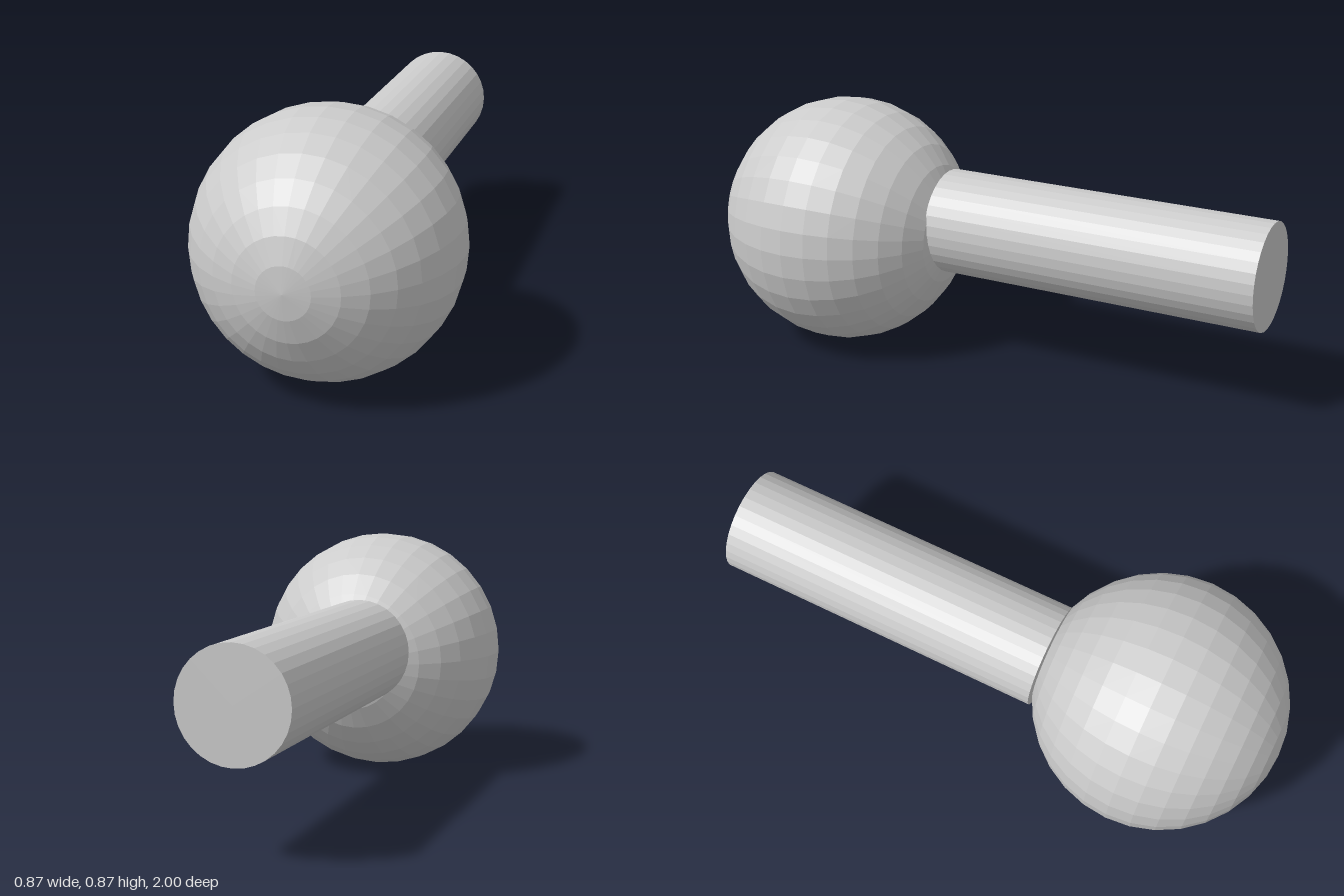
import * as THREE from 'three';

export function createModel() {
  const group = new THREE.Group();
  const material = new THREE.MeshStandardMaterial({ color: 0xcccccc, flatShading: true });
  const radius = 0.437;

  // Parts are made upright, then laid so their axis runs along z
  function addPart(name, geometry, x, y, z) {
    geometry.rotateX(Math.PI / 2);
    const mesh = new THREE.Mesh(geometry, material);
    mesh.name = name;
    mesh.position.set(x, y, z);
    group.add(mesh);
  }

  // Faceted ball with its poles facing front and back
  addPart('ball', new THREE.SphereGeometry(radius, 32, 16), 0, radius, 1 - radius);

  // Rod set slightly off the ball's axis, running to the back
  const rodFront = 0.166;
  const rodLength = rodFront + 1;
  addPart('rod', new THREE.CylinderGeometry(0.181, 0.181, rodLength, 32),
    -0.033, 0.482, rodFront - rodLength / 2);

  return group;
}
